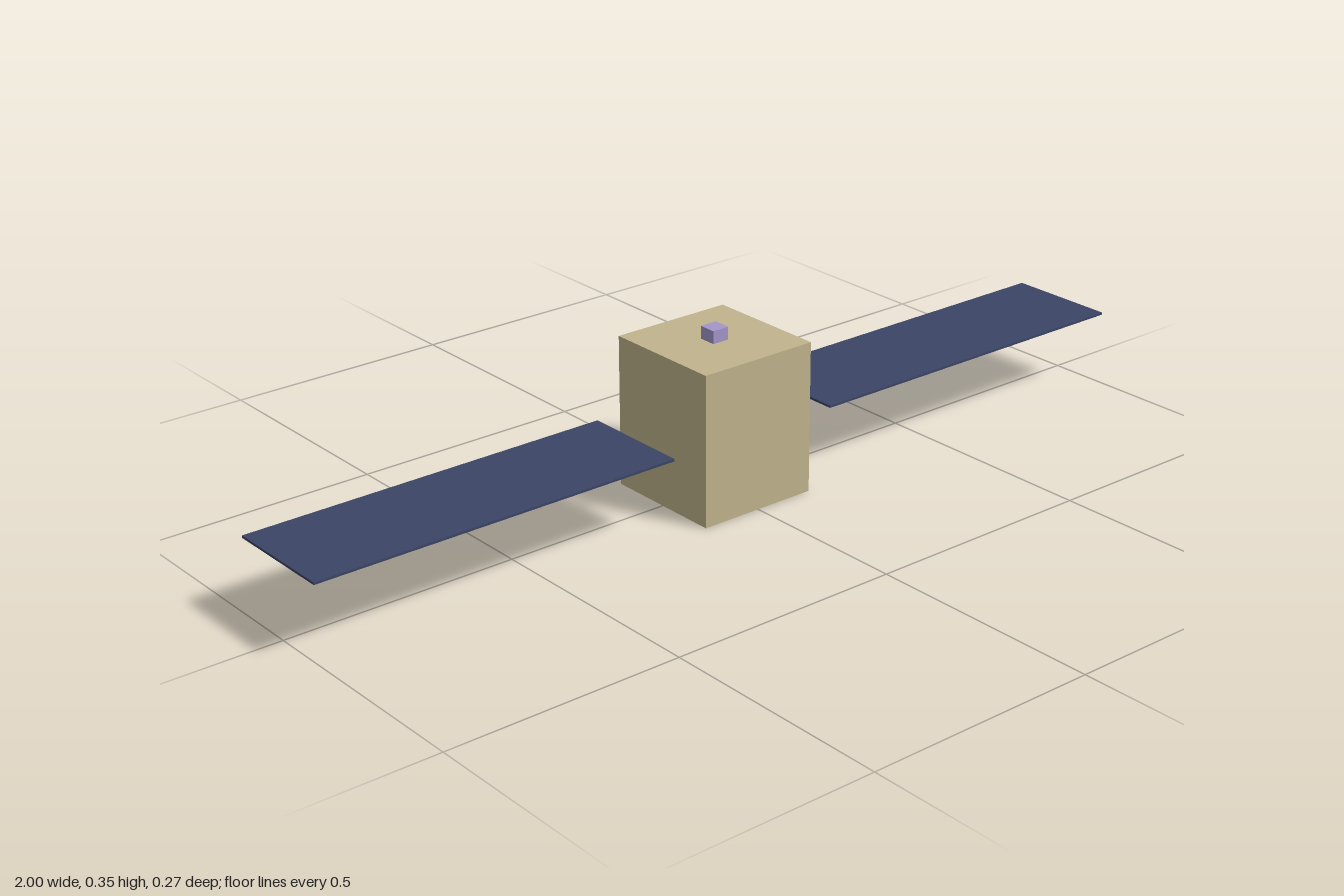
import * as THREE from 'three';

const bodyTan = new THREE.MeshStandardMaterial({ color: 0xc0b48c });
bodyTan.name = 'body tan';
const panelNavy = new THREE.MeshStandardMaterial({ color: 0x3b4565 });
panelNavy.name = 'panel navy';
const sensorLilac = new THREE.MeshStandardMaterial({ color: 0xa396cb });
sensorLilac.name = 'sensor lilac';

function box(name, material, size, position) {
  const mesh = new THREE.Mesh(new THREE.BoxGeometry(...size), material);
  mesh.name = name;
  mesh.position.set(...position);
  return mesh;
}

export function createModel() {
  const model = new THREE.Group();
  model.name = 'satellite';

  // Main housing with a small sensor block on its roof
  model.add(box('body', bodyTan, [0.267, 0.32, 0.267], [0, 0.16, 0]));
  model.add(box('sensor', sensorLilac, [0.038, 0.027, 0.038], [0, 0.3335, 0]));

  // Free-standing solar panels, one on each side
  for (const [name, side] of [['leftSolarPanel', 1], ['rightSolarPanel', -1]]) {
    model.add(box(name, panelNavy, [0.8, 0.005, 0.24], [side * 0.6, 0.16, 0]));
  }
  return model;
}
